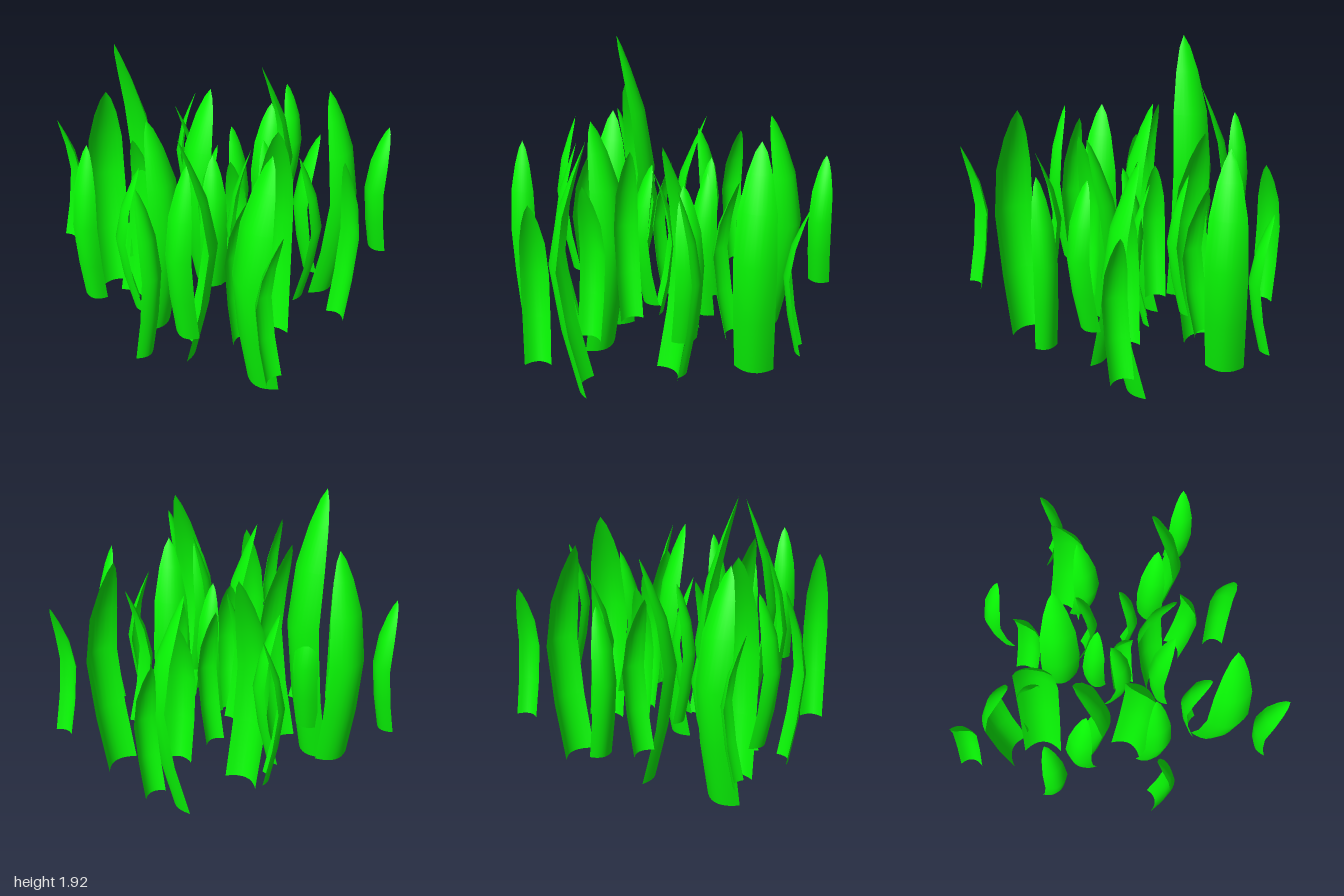
import * as THREE from 'three';

const material = new THREE.MeshStandardMaterial({ color: 0x08fa04, side: THREE.DoubleSide });

// Rows of a blade, base to tip: [height fraction, width, spine offset, depth of the trough]
const rows = [
  [0, 0.96, -0.1, 0.26],
  [0.26, 1.0, 0.25, 0.26],
  [0.53, 1.02, 0.46, 0.26],
  [0.74, 0.9, 0.21, 0.19],
  [0.88, 0.58, -0.13, 0.09],
  [0.96, 0.28, -0.35, 0.03],
  [1, 0, -0.46, 0],
];

// A blade bulges towards local +z and its tip bends back; width and height are real sizes
function bladeGeometry(width, height) {
  const across = 8;
  const geometry = new THREE.PlaneGeometry(1, 1, across, rows.length - 1);
  const p = geometry.attributes.position;
  for (let i = 0; i < p.count; i++) {
    const u = (i % (across + 1)) / across * 2 - 1;
    const row = rows[rows.length - 1 - Math.floor(i / (across + 1))];
    const [t, w, spine, depth] = row;
    p.setXYZ(i, u * w * width / 2, t * height, (spine - depth * u * u) * width);
  }
  geometry.computeVertexNormals();
  return geometry;
}

// Blades: [x, z, width, base y, tip y, direction of the bulge in degrees from +x towards +z]
const arms = {
  backArm: [
    [-0.03, -0.92, 0.145, 0.39, 1.26, 20],
    [0.01, -0.67, 0.25, 0.1, 1.53, -48],
    [0.07, -0.46, 0.18, 0.33, 1.32, 75],
    [0.02, -0.2, 0.145, 0.32, 1.26, 20],
  ],
  backLeftArm: [
    [0.78, -0.68, 0.15, 0.39, 1.29, 100],
    [0.61, -0.47, 0.25, 0.1, 1.56, 10],
    [0.48, -0.3, 0.17, 0.33, 1.32, 120],
    [0.28, -0.16, 0.145, 0.32, 1.26, 30],
  ],
  leftArm: [
    [0.895, -0.09, 0.145, 0.3, 1.41, -78],
    [0.64, -0.08, 0.17, 0.33, 1.32, -20],
    [0.43, -0.02, 0.23, 0.02, 1.52, -125],
    [0.19, 0.06, 0.15, 0.32, 1.25, -100],
  ],
  frontLeftArm: [
    [0.91, 0.76, 0.155, 0.39, 1.37, 178],
    [0.71, 0.59, 0.255, 0.08, 1.63, 95],
    [0.53, 0.49, 0.16, 0.33, 1.32, 200],
    [0.37, 0.28, 0.15, 0.37, 1.47, 157],
  ],
  frontArm: [
    [0.21, 0.92, 0.15, 0.3, 1.43, 5],
    [0.24, 0.66, 0.17, 0.26, 1.45, 82],
    [0.19, 0.43, 0.25, 0.01, 1.54, -42],
    [0.13, 0.2, 0.165, 0.32, 1.26, 50],
  ],
  frontRightArm: [
    [-0.425, 0.73, 0.155, 0.3, 1.39, 72],
    [-0.22, 0.59, 0.175, 0.26, 1.27, 130],
    [-0.1, 0.415, 0.25, 0.02, 1.51, 10],
    [0, 0.08, 0.14, 0.32, 1.26, 120],
  ],
  rightArm: [
    [-0.905, 0.36, 0.145, 0.39, 1.3, -70],
    [-0.66, 0.28, 0.24, 0.1, 1.57, 215],
    [-0.415, 0.265, 0.26, 0.07, 1.93, -75],
    [-0.45, 0.2, 0.16, 0.33, 1.25, -100],
  ],
  backRightArm: [
    [-0.54, -0.39, 0.15, 0.34, 1.29, 150],
    [-0.38, -0.2, 0.17, 0.31, 1.32, -45],
    [-0.195, -0.08, 0.25, 0.03, 1.49, 95],
  ],
};

export function createModel() {
  const grass = new THREE.Group();
  grass.name = 'grassTuft';
  for (const [name, blades] of Object.entries(arms)) {
    const arm = new THREE.Group();
    arm.name = name;
    blades.forEach(([x, z, width, base, tip, angle], i) => {
      const blade = new THREE.Mesh(bladeGeometry(width, tip - base), material);
      blade.name = 'grassBlade' + (i + 1);
      blade.position.set(x, base, z);
      blade.rotation.y = THREE.MathUtils.degToRad(90 - angle);
      arm.add(blade);
    });
    grass.add(arm);
  }
  // Stand the lowest blade on the ground
  grass.position.y = -0.01;
  return grass;
}
